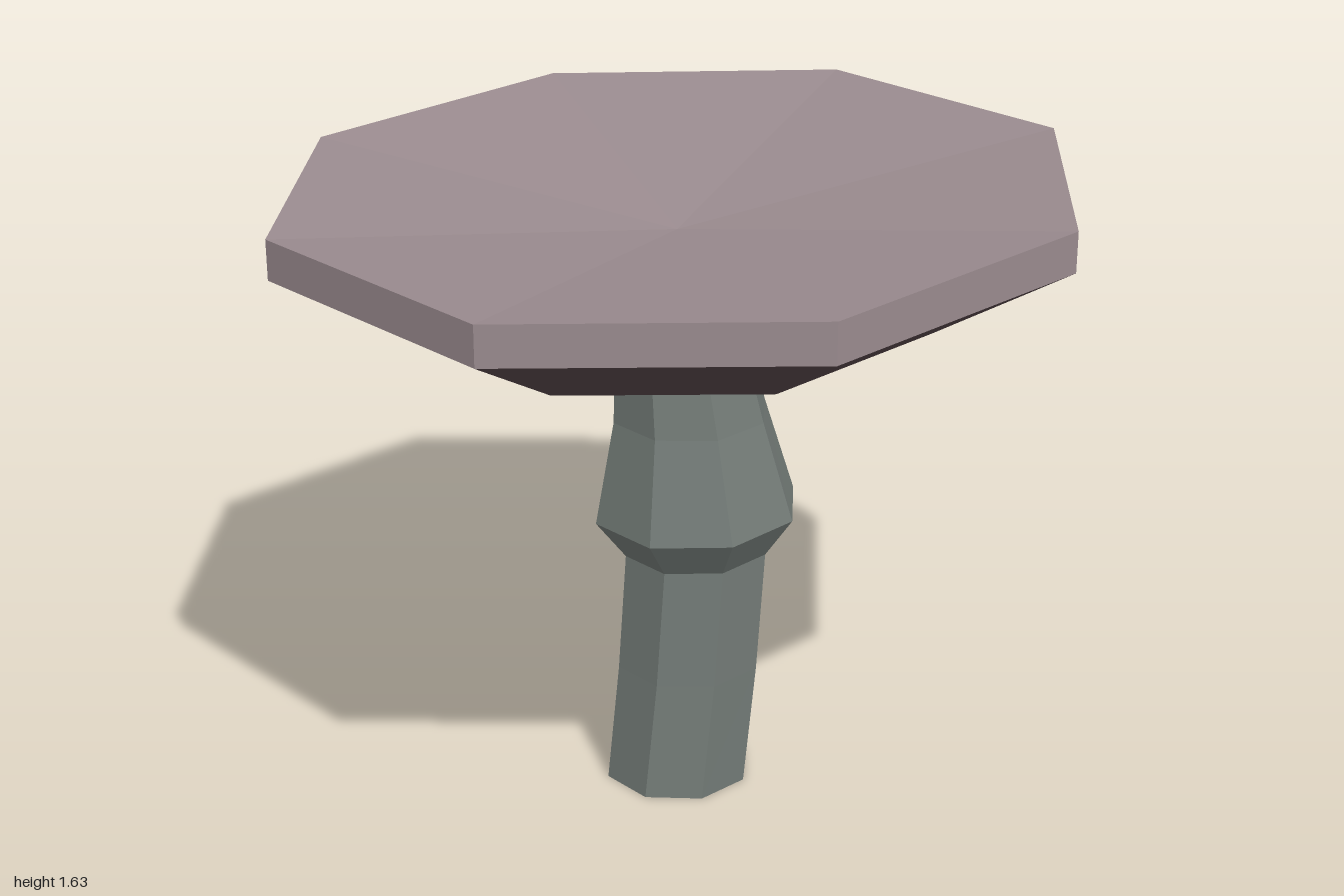
import * as THREE from 'three';

const SIDES = 8;

// Lofts octagonal rings [centreX, y, radius, slope], where slope tilts the ring up towards +x.
function loft(rings) {
  const point = ([cx, y, r, slope], j) => {
    const a = (j / SIDES) * Math.PI * 2;
    return [cx + r * Math.cos(a), y + slope * r * Math.cos(a), r * Math.sin(a)];
  };
  const pos = [];
  for (let i = 0; i < rings.length - 1; i++) {
    const lo = rings[i], hi = rings[i + 1];
    for (let j = 0; j < SIDES; j++) {
      const a = point(lo, j), b = point(lo, j + 1);
      const c = point(hi, j), d = point(hi, j + 1);
      if (lo[2] > 0) pos.push(...a, ...c, ...b);
      if (hi[2] > 0) pos.push(...b, ...c, ...d);
    }
  }
  const geo = new THREE.BufferGeometry();
  geo.setAttribute('position', new THREE.Float32BufferAttribute(pos, 3));
  geo.computeVertexNormals();
  return geo;
}

function material(name, color) {
  const m = new THREE.MeshStandardMaterial({ color, flatShading: true });
  m.name = name;
  return m;
}

export function createModel() {
  const group = new THREE.Group();
  group.name = 'mushroom';

  const stemGrey = material('stem grey', 0x747c78);
  const gillBrown = material('dark gill brown', 0x58474b);
  const capPink = material('dusty pink', 0x9a8b8f);

  const add = (name, rings, mat) => {
    const mesh = new THREE.Mesh(loft(rings), mat);
    mesh.name = name;
    group.add(mesh);
  };

  // Rings shared between neighbouring parts
  const stemTop = [0.01, 1.205, 0.17, 0.01];
  const gillInner = [0, 1.305, 0.66, 0.03];
  const rimBottom = [0, 1.5, 1, 0.03];

  // Bent stem with a collar bulge and a closed foot
  add('stem', [
    [0, 0, 0, 0],
    [0, 0, 0.19, 0],
    [0.032, 0.32, 0.19, 0.02],
    [0.053, 0.635, 0.19, 0.04],
    [0.05, 0.74, 0.265, 0.04],
    [0.034, 1.0, 0.2, 0.02],
    stemTop,
  ], stemGrey);

  // Underside of the cap, flaring out of the stem
  add('innerUnderside', [stemTop, gillInner], stemGrey);
  add('outerUnderside', [gillInner, rimBottom], gillBrown);

  // Rim and shallow dished top
  add('cap', [rimBottom, [0, 1.6, 1, 0.03], [0, 1.48, 0, 0]], capPink);

  return group;
}
